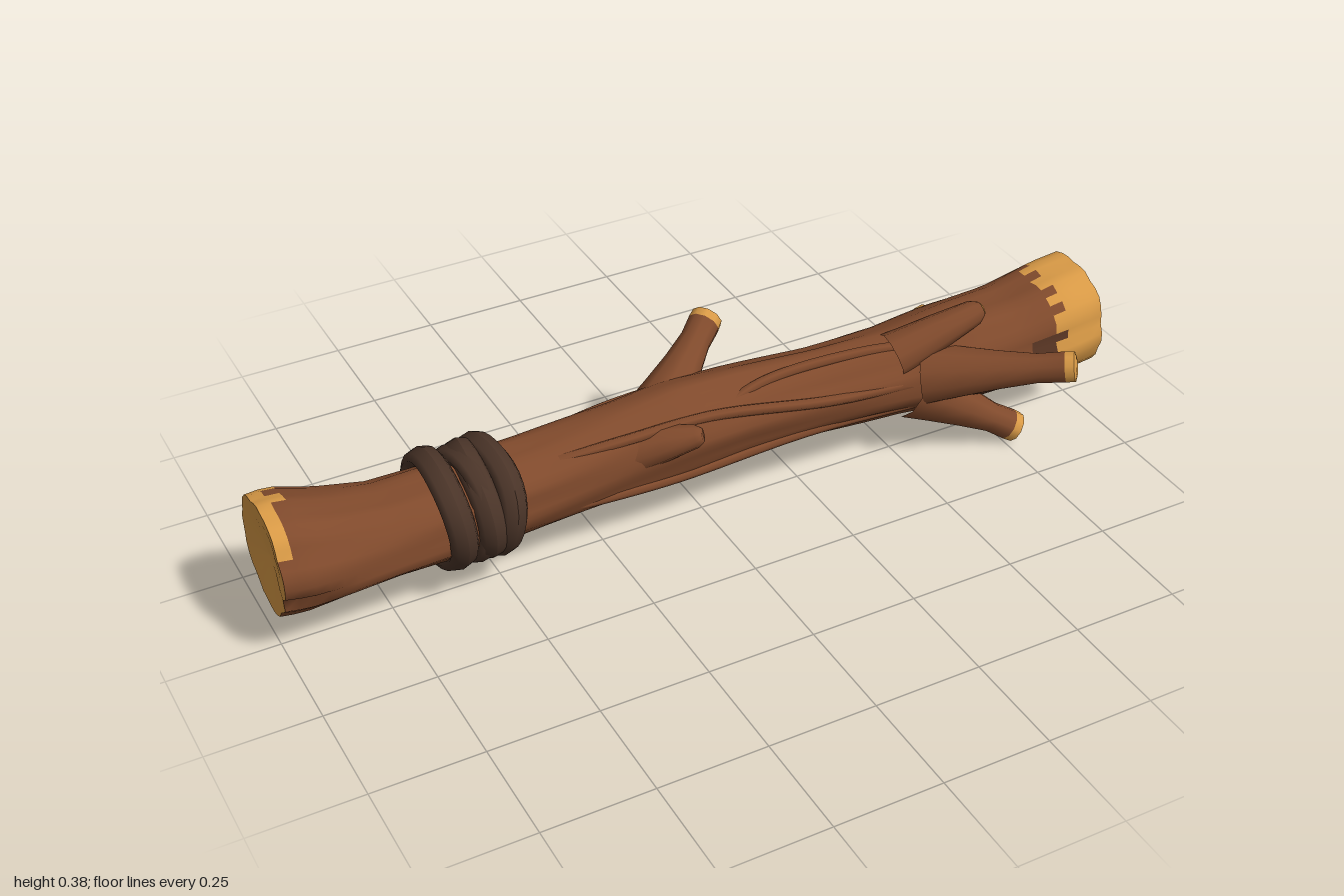
import * as THREE from 'three';

const mat = (name, color) => {
  const m = new THREE.MeshStandardMaterial({ color });
  m.name = name;
  return m;
};

// Trunk outline: x, bottom y, top y, back z, front z
const PROFILE = [
  [-1.0, 0.085, 0.345, -0.175, 0.09], [-0.95, 0.08, 0.345, -0.185, 0.1], [-0.86, 0.09, 0.32, -0.165, 0.095],
  [-0.75, 0.1, 0.305, -0.142, 0.088], [-0.55, 0.1, 0.305, -0.14, 0.08], [-0.4, 0.11, 0.308, -0.14, 0.075],
  [-0.2, 0.115, 0.325, -0.13, 0.065], [-0.05, 0.118, 0.338, -0.145, 0.07], [0.1, 0.12, 0.332, -0.135, 0.062],
  [0.3, 0.12, 0.322, -0.118, 0.065], [0.5, 0.112, 0.322, -0.122, 0.082], [0.65, 0.1, 0.338, -0.135, 0.11],
  [0.8, 0.105, 0.342, -0.14, 0.115], [0.92, 0.1, 0.37, -0.145, 0.125], [1.0, 0.112, 0.375, -0.145, 0.122],
];
const SIDES = 36, RINGS = 64;

function outline(x) {
  let i = 0;
  while (i < PROFILE.length - 2 && x > PROFILE[i + 1][0]) i++;
  const a = PROFILE[i], b = PROFILE[i + 1], t = (x - a[0]) / (b[0] - a[0]);
  return a.map((v, k) => v + (b[k] - v) * t);
}

// Point on the gnarled bark; angle 0 faces front, a quarter turn faces up
function bark(x, a, scale = 1, push = 0) {
  const [, y0, y1, z0, z1] = outline(x);
  let r = 0.985 + 0.03 * Math.sin(5 * a + 4 * x) + 0.022 * Math.sin(9 * a - 5 * x + 1) + 0.012 * Math.sin(14 * a + 9 * x);
  if (x < -0.85) r -= 0.14 * Math.exp(-(((a + 0.35) / 0.12) ** 2)) * Math.min(1, (-0.85 - x) / 0.1);
  r *= scale;
  return [x + push, (y0 + y1) / 2 + (y1 - y0) / 2 * r * Math.sin(a), (z0 + z1) / 2 + (z1 - z0) / 2 * r * Math.cos(a)];
}
const angle = (j) => (j / SIDES) * Math.PI * 2 - Math.PI;

// Joins closed rings of points; pick(i, j) chooses the material slot of each face
function loft(rings, pick, slots) {
  const faces = Array.from({ length: slots }, () => []);
  for (let i = 0; i < rings.length - 1; i++) {
    for (let j = 0; j < SIDES; j++) {
      const k = (j + 1) % SIDES, p = i * SIDES, q = p + SIDES;
      faces[pick(i, j)].push(p + j, q + j, q + k, p + j, q + k, p + k);
    }
  }
  const g = new THREE.BufferGeometry();
  g.setAttribute('position', new THREE.Float32BufferAttribute(rings.flat(2), 3));
  g.setIndex(faces.flat());
  let start = 0;
  faces.forEach((f, s) => {
    g.addGroup(start, f.length, s);
    start += f.length;
  });
  g.computeVertexNormals();
  return g;
}

export function createModel() {
  const brown = mat('bark brown', 0x804a2c);
  const cut = mat('cut wood', 0xd99a46);
  const rope = mat('wrap dark brown', 0x4a3428);
  const dark = mat('shaded bark', 0x583523);
  const log = new THREE.Group();
  log.name = 'log';
  const add = (name, geometry, material, parent = log) => {
    const m = new THREE.Mesh(geometry, material);
    m.name = name;
    parent.add(m);
    return m;
  };

  // Trunk with bare wood at both ends and a dark patch near the branches
  const xs = Array.from({ length: RINGS + 1 }, (_, i) => -1 + (2 * i) / RINGS);
  const rings = xs.map((x) => Array.from({ length: SIDES }, (_, j) => bark(x, angle(j))));
  const trunkFace = (i, j) => {
    const x = (xs[i] + xs[i + 1]) / 2, a = angle(j + 0.5);
    if (x > 0.885 + 0.02 * Math.sin(j * 2.4)) return 1;
    if (x < -0.985 + 0.035 * Math.sin(a - 0.6) + 0.01 * Math.sin(j * 2.1)) return 1;
    if (a > -1.9 && a < 0.35 && x > 0.74 + 0.09 * Math.sin(a * 2 + 0.5) + 0.02 * Math.sin(j * 2.6)) return 2;
    return 0;
  };
  add('trunk', loft(rings, trunkFace, 3), [brown, cut, dark]);

  // Sawn ends, softly domed at the rim and dished in the middle
  for (const end of [-1, 1]) {
    const steps = [[1, 0], [0.93, -0.001], [0.7, -0.004], [0.4, -0.01], [0.001, -0.014]];
    const cap = steps.map(([s, p]) => Array.from({ length: SIDES }, (_, j) => bark(end, angle(j), s, p * end)));
    if (end < 0) cap.reverse();
    add(end < 0 ? 'rightEndCut' : 'leftEndCut', loft(cap, () => 0, 1), cut);
  }

  // Cut branches: base, tip, base radius, tip radius
  const branches = [
    ['middleBranch', [-0.08, 0.25, -0.06], [0.135, 0.358, -0.225], 0.05, 0.038],
    ['frontBranch', [0.56, 0.225, 0.04], [0.825, 0.285, 0.255], 0.05, 0.037],
    ['lowerBranch', [0.54, 0.185, 0.02], [0.785, 0.04, 0.11], 0.052, 0.037],
    ['longBackBranch', [0.58, 0.2, -0.06], [0.965, 0.13, -0.252], 0.055, 0.038],
    ['shortBackBranch', [0.56, 0.2, -0.08], [0.745, 0.165, -0.235], 0.05, 0.037],
  ];
  const UP = new THREE.Vector3(0, 1, 0);
  const place = (group, from, to) => {
    const a = new THREE.Vector3(...from), d = new THREE.Vector3(...to).sub(a);
    group.position.copy(a);
    group.quaternion.setFromUnitVectors(UP, d.clone().normalize());
    return d.length();
  };
  const lathe = (pts) => new THREE.LatheGeometry(pts.map(([r, y]) => new THREE.Vector2(r, y)), 10);
  for (const [name, from, to, r0, r1] of branches) {
    const g = new THREE.Group();
    g.name = name;
    const h = place(g, from, to);
    add(name + 'Bark', lathe([[r0 * 1.5, 0], [r0 * 1.2, h * 0.25], [r0 * 0.92, h * 0.5], [r1 * 0.95, h * 0.75], [r1, h - 0.025]]), brown, g);
    add(name + 'Side', lathe([[r1, h - 0.025], [r1 * 0.97, h - 0.004]]), cut, g);
    add(name + 'Cut', lathe([[r1 * 0.97, h - 0.004], [r1 * 0.6, h], [0, h]]), cut, g);
    log.add(g);
  }

  // Blunt knots in the bark
  const knots = [
    ['topKnot', [0.48, 0.285, 0.02], [0.7, 0.36, 0.045], 0.055, 0.03],
    ['frontKnot', [-0.19, 0.235, 0.0], [-0.045, 0.285, 0.09], 0.06, 0.026],
  ];
  for (const [name, from, to, r0, r1] of knots) {
    const g = new THREE.Group();
    g.name = name;
    const h = place(g, from, to);
    add(name + 'Bark', lathe([[r0, 0], [(r0 + r1) / 2, h * 0.5], [r1, h * 0.92], [r1 * 0.6, h], [0, h]]), brown, g);
    log.add(g);
  }
  const chip = add('topKnotCut', new THREE.CylinderGeometry(0.014, 0.014, 0.008, 8), cut);
  place(chip, [0.7, 0.358, 0.045], [0.9, 0.42, 0.07]);

  // Bark ridges running along the trunk
  const ridges = [
    [[-0.42, 1.0], [-0.2, 0.75], [0.0, 0.65], [0.3, 0.25], [0.55, 0.1]],
    [[0.0, 0.6], [0.15, 1.1], [0.4, 1.2], [0.58, 1.0]],
    [[-0.4, 2.6], [-0.15, 2.3], [0.2, 2.7], [0.6, 3.0]],
    [[-0.4, -0.5], [-0.1, -0.7], [0.25, -0.6], [0.6, -0.9]],
  ];
  for (const path of ridges) {
    const pts = path.map(([x, a], i) => new THREE.Vector3(...bark(x, a, i % (path.length - 1) ? 0.97 : 0.82)));
    add('barkRidge', new THREE.TubeGeometry(new THREE.CatmullRomCurve3(pts), 28, 0.013, 7), brown);
  }

  // Wrapped cord: x, ring radius, cord radius, half width, lean and turn
  const coils = [
    [-0.618, 0.118, 0.022, 0.033, 0.02, 0.08], [-0.565, 0.112, 0.02, 0.03, -0.12, 0.2],
    [-0.532, 0.114, 0.021, 0.032, 0.1, -0.12], [-0.498, 0.117, 0.022, 0.031, -0.03, 0.02],
  ];
  coils.forEach(([x, r, t, w, lean, turn], n) => {
    const g = new THREE.TorusGeometry(r, t, 8, 28);
    const p = g.attributes.position;
    for (let i = 0; i < p.count; i++) {
      const a = Math.atan2(p.getY(i), p.getX(i));
      const k = 1 + 0.025 * Math.sin(3 * a + n * 2);
      p.setXYZ(i, p.getX(i) * k, p.getY(i) * k, p.getZ(i) * (w / t) + 0.006 * Math.sin(2 * a + n));
    }
    g.computeVertexNormals();
    g.rotateY(Math.PI / 2);
    const m = add('cordCoil', g, rope);
    m.position.set(x, 0.207, -0.031);
    m.rotation.set(0, turn, lean);
  });

  return log;
}
